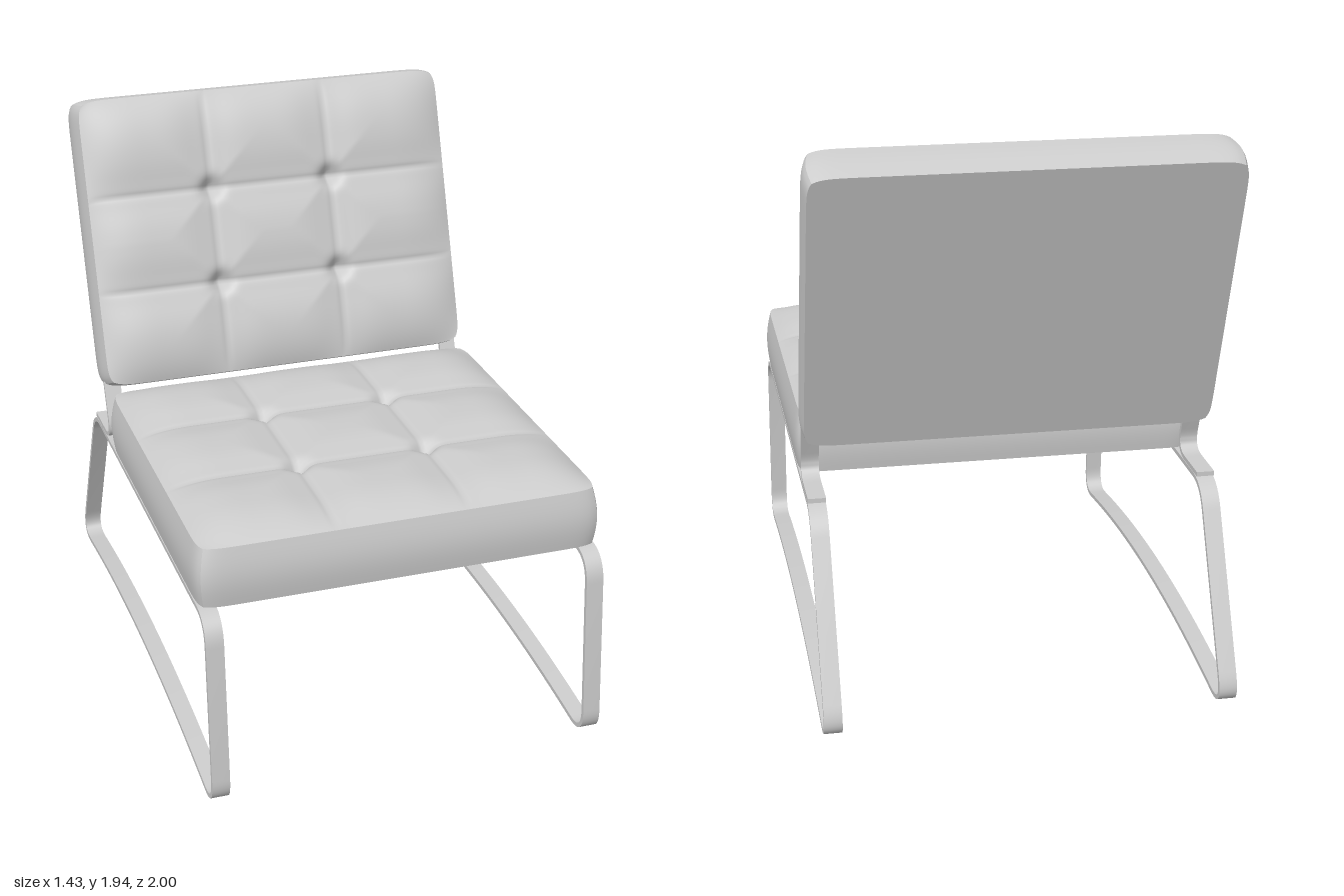
import * as THREE from 'three';
import { toCreasedNormals } from 'three/addons/utils/BufferGeometryUtils.js';

const SEAM_X = 0.23, BAR_X = 0.676, BAR_W = 0.062, BAR_T = 0.016;

const metal = new THREE.MeshStandardMaterial({ color: 0xcccccc });
const fabric = new THREE.MeshStandardMaterial({ color: 0xcccccc });

function mesh(name, geometry, material) {
  const m = new THREE.Mesh(geometry, material);
  m.name = name;
  return m;
}

// Tufted cushion lying on y = 0: domed top, stitched seams, buttons where seams cross
function cushion({ width, depth, height, puff, seamsZ, bulgeX, bulgeZ, taperX, taperZ }) {
  const nx = 102, nz = 96;
  const geo = new THREE.BoxGeometry(width, height, depth, nx, 8, nz);
  geo.translate(0, height / 2, 0);
  const snap = (v, step) => Math.round(v / step) * step;
  const sx = snap(SEAM_X, width / nx);
  const sz = seamsZ.map((v) => snap(v, depth / nz));
  const rise = (v, half) => 1 - Math.pow(1 - Math.min(1, (half - Math.abs(v)) / 0.22), 2.6);
  const dip = (d) => 0.02 * Math.exp(-d * d / 0.009) + 0.009 * Math.exp(-d / 0.01);
  const p = geo.attributes.position;
  for (let i = 0; i < p.count; i++) {
    const x = p.getX(i), y = p.getY(i), z = p.getZ(i), t = y / height;
    const u = Math.abs(x) * 2 / width, v = Math.abs(z) * 2 / depth;
    let top = 0;
    if (t > 0.999) {
      const e = Math.max(0, rise(x, width / 2) * rise(z, depth / 2));
      const dx = Math.abs(Math.abs(x) - sx);
      const dz = Math.min(...sz.map((s) => Math.abs(z - s)));
      const button = 0.045 * Math.exp(-(dx * dx + dz * dz) / 0.0012);
      top = e * (puff - Math.max(dip(dx), dip(dz)) - button);
    }
    // Sides swell at mid height, lean in at the top and round off at the corners
    const swell = Math.sin(Math.PI * t), corner = 0.016;
    p.setXYZ(i,
      x * (1 + (bulgeX * swell - taperX * t - corner * Math.pow(v, 24)) * 2 / width),
      y + top,
      z * (1 + (bulgeZ * swell - taperZ * t - corner * Math.pow(u, 24)) * 2 / depth));
  }
  geo.computeVertexNormals();
  return geo;
}

// Polyline of [z, y, radius] corners turned into a smooth list of points
function roundedPath(corners, closed) {
  const pts = [], n = corners.length;
  const at = (i) => new THREE.Vector2(...corners[(i + n) % n].slice(0, 2));
  corners.forEach(([, , r], i) => {
    const c = at(i);
    if (!closed && (i === 0 || i === n - 1)) return pts.push(c);
    const toward = (q) => c.clone().add(q.sub(c).setLength(r));
    const curve = new THREE.QuadraticBezierCurve(toward(at(i - 1)), c, toward(at(i + 1)));
    pts.push(...curve.getPoints(r > 0.5 ? 24 : 12));
  });
  return pts;
}

// Flat bar bent along a path in the side plane, centred on x = 0; closed paths run counter-clockwise
function bentBar(corners, closed) {
  const pts = roundedPath(corners, closed), n = pts.length;
  const offset = (d) => pts.map((q, i) => {
    const a = closed ? pts[(i + n - 1) % n] : pts[Math.max(0, i - 1)];
    const b = closed ? pts[(i + 1) % n] : pts[Math.min(n - 1, i + 1)];
    const dir = b.clone().sub(a).normalize();
    return new THREE.Vector2(q.x - dir.y * d, q.y + dir.x * d);
  });
  const inner = offset(BAR_T / 2), outer = offset(-BAR_T / 2);
  const shape = new THREE.Shape(closed ? outer : [...outer, ...inner.reverse()]);
  if (closed) shape.holes.push(new THREE.Path(inner.reverse()));
  const geo = new THREE.ExtrudeGeometry(shape, { depth: BAR_W, bevelEnabled: false });
  geo.translate(0, 0, -BAR_W / 2);
  geo.rotateY(-Math.PI / 2);
  return toCreasedNormals(geo, 0.6);
}

export function createModel() {
  const model = new THREE.Group();
  model.name = 'loungeChair';

  // Seat cushion
  const seat = mesh('seatCushion', cushion({
    width: 1.416, depth: 1.285, height: 0.21, puff: 0.052, seamsZ: [-0.232, 0.204],
    bulgeX: 0.012, bulgeZ: 0.014, taperX: 0.006, taperZ: 0.012,
  }), fabric);
  seat.position.set(0, 0.708, 0.263);
  model.add(seat);

  // Back cushion, leaning backwards
  const back = mesh('backCushion', cushion({
    width: 1.416, depth: 1.07, height: 0.178, puff: 0.046, seamsZ: [-0.165, 0.195],
    bulgeX: 0.012, bulgeZ: 0.008, taperX: 0.006, taperZ: 0.004,
  }), fabric);
  back.position.set(0, 1.374, -0.737);
  back.rotation.x = THREE.MathUtils.degToRad(70.6);
  model.add(back);

  // Support panel under the seat
  const panel = mesh('seatPanel', new THREE.BoxGeometry(1.285, 0.018, 1.2), fabric);
  panel.position.set(0, 0.699, 0.265);
  model.add(panel);

  // Side frames, back brackets and bolts
  const frameGeo = bentBar([
    [-0.685, 0.69, 0.09], [-1.032, -0.005, 0.13], [0, 0.126, 0.85],
    [1.0, -0.005, 0.1], [0.95, 0.69, 0.1],
  ], true);
  const bracketGeo = bentBar([[-0.52, 1.03], [-0.39, 0.708, 0.1], [-0.645, 0.708]], false);
  const boltGeo = new THREE.CylinderGeometry(0.01, 0.01, 0.03, 16);
  for (const [side, s] of [['left', 1], ['right', -1]]) {
    const group = new THREE.Group();
    group.name = side + 'Frame';
    group.position.x = s * BAR_X;
    group.add(mesh('legLoop', frameGeo, metal), mesh('backBracket', bracketGeo, metal));
    for (const z of [-0.49, -0.6]) {
      const bolt = mesh('bolt', boltGeo, metal);
      bolt.position.set(0, 0.689, z);
      group.add(bolt);
    }
    model.add(group);
  }
  return model;
}
